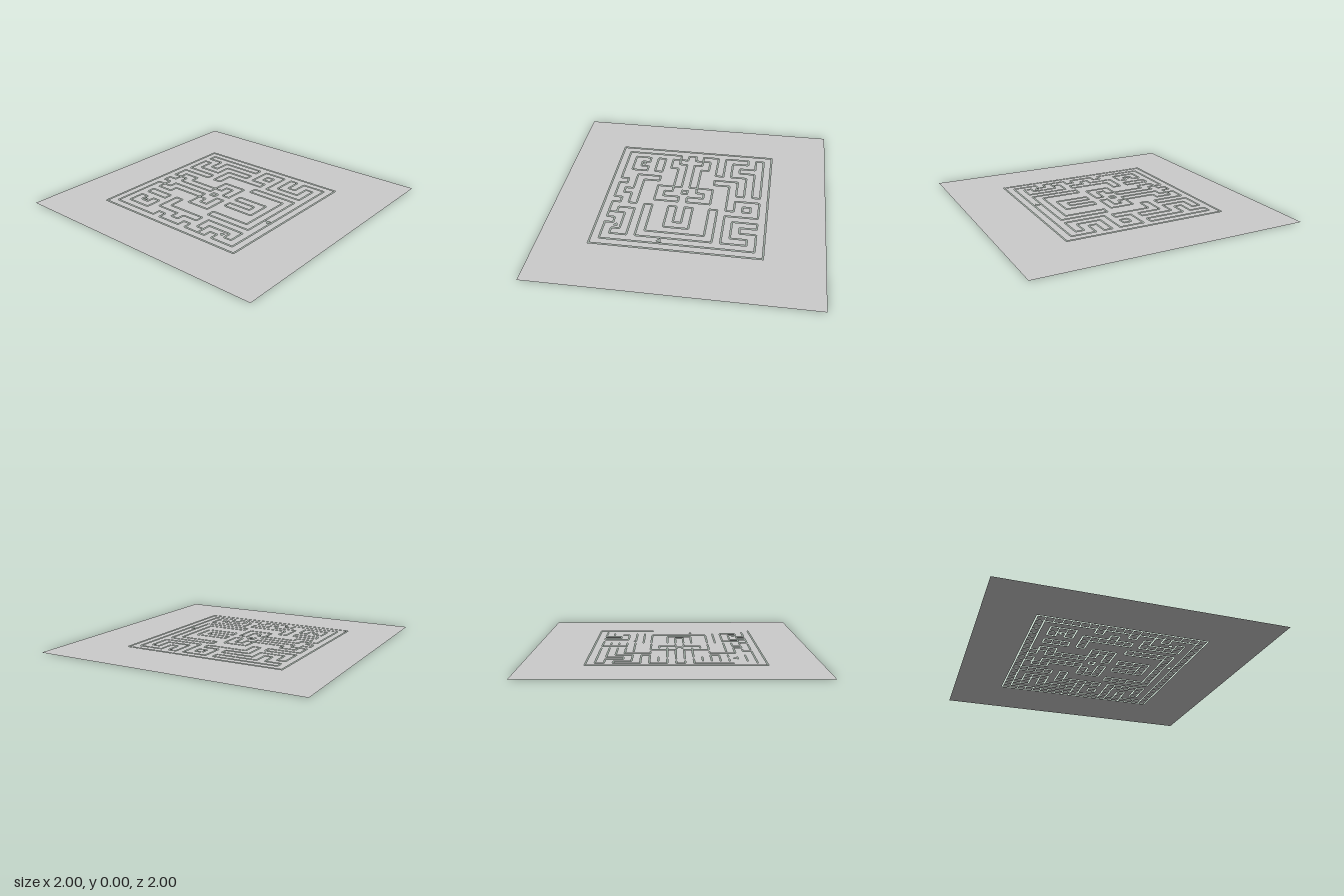
import * as THREE from 'three';
import { mergeGeometries } from 'three/addons/utils/BufferGeometryUtils.js';

const N = 20, PITCH = 0.0605, START = -0.635;
const GAP = 0.075;   // half width of the slit around a wall, in cells
const JOINT = 0.045; // half width of a joint between wall tiles, in cells

// Wall bars as [column, row, width, depth]; both sizes are 1 where left out.
// These repeat mirrored about the maze's middle column.
const MIRRORED_BARS = [
  [8, 1], [7, 2, 1, 2], [8, 3, 1, 5], [6, 8, 2], [6, 9, 1, 2], [7, 10, 2], // centre court
  [3, 6, 3], [3, 7, 1, 5], [2, 9],                                         // hooks
  [3, 13, 1, 5], [2, 13], [2, 17],                                         // brackets
  [2, 2, 2], [2, 4, 2], [5, 2, 1, 3],                                      // back corners
  [5, 12, 1, 6], [8, 12, 1, 4],                                            // nested U walls
];
const SINGLE_BARS = [
  [1, 7], [1, 11], [1, 15], [2, 3], [15, 3], [13, 1], [9, 15], [6, 17, 7],
  [17, 1, 1, 2], [17, 4, 1, 6], [18, 9], [17, 11], [17, 13, 2], [17, 15, 2], [17, 17],
];

// Small holes: the block of cells, then the centre, radius and sides of the hole.
const PIERCED = [
  { cells: [9, 8, 1, 2], x: 9.54, z: 9.02, r: 0.59, sides: 4, island: 0.36 },
  { cells: [3, 3, 1, 1], x: 3.35, z: 3.4, r: 0.26, sides: 3 },
  { cells: [2, 16, 1, 1], x: 2.4, z: 16.4, r: 0.3, sides: 3 },
  { cells: [7, 18, 2, 1], x: 7.95, z: 18.55, r: 0.35, sides: 3 },
];

function eachCell([i, j, w = 1, h = 1], visit) {
  for (let a = i; a < i + w; a++) for (let b = j; b < j + h; b++) visit(a, b);
}

// The set of wall cells: the outer ring and all bars.
function wallCells() {
  const walls = new Set();
  const add = (i, j) => walls.add(`${i},${j}`);
  for (let k = 0; k < N; k++) {
    add(k, 0); add(k, N - 1); add(0, k); add(N - 1, k);
  }
  for (const bar of SINGLE_BARS) eachCell(bar, add);
  for (const bar of MIRRORED_BARS) eachCell(bar, (i, j) => { add(i, j); add(18 - i, j); });
  return walls;
}

const rect = (x0, z0, x1, z1) => [[x0, z0], [x1, z0], [x1, z1], [x0, z1]];

const polygon = (x, z, r, sides) => Array.from({ length: sides }, (_, k) => {
  const angle = Math.PI / 4 + k * 2 * Math.PI / sides;
  return [x + r * Math.cos(angle), z + r * Math.sin(angle)];
});

// One flat sheet facing up (dir 1) or down (dir -1): surrounding ground and maze tiles.
function sheet(dir, walls, material) {
  const toPoint = ([i, j]) => new THREE.Vector2(START + i * PITCH, -dir * (START + j * PITCH));
  const flat = (outline, hole) => {
    const shape = new THREE.Shape(outline.map(toPoint));
    if (hole) shape.holes.push(new THREE.Path(hole.map(toPoint)));
    return new THREE.ShapeGeometry(shape).rotateX(-dir * Math.PI / 2);
  };

  // How far a tile draws back from its neighbour in direction (di, dj)
  const inset = (i, j, di, dj) => {
    const here = walls.has(`${i},${j}`), there = walls.has(`${i + di},${j + dj}`);
    const crack = i === 1 && di === 0 && 2 * j + dj === 27;
    if (here !== there || crack) return GAP;
    return dir < 0 && here ? JOINT : 0;
  };
  const tile = (i, j, w, h) => rect(
    i + inset(i, j, -1, 0), j + inset(i, j, 0, -1),
    i + w - inset(i + w - 1, j, 1, 0), j + h - inset(i, j + h - 1, 0, 1));

  const tiles = [], taken = new Set();
  for (const { cells, x, z, r, sides, island } of PIERCED) {
    eachCell(cells, (i, j) => taken.add(`${i},${j}`));
    tiles.push(flat(tile(...cells), polygon(x, z, r, sides)));
    if (island) tiles.push(flat(polygon(x, z, island, sides)));
  }
  eachCell([0, 0, N, N], (i, j) => {
    if (!taken.has(`${i},${j}`)) tiles.push(flat(tile(i, j, 1, 1)));
  });
  const maze = new THREE.Mesh(mergeGeometries(tiles), material);
  maze.name = 'mazeTiles';

  const lo = (-1 - START) / PITCH, hi = (1 - START) / PITCH;
  const ground = new THREE.Mesh(
    flat(rect(lo, lo, hi, hi), rect(-GAP, -GAP, N + GAP, N + GAP)), material);
  ground.name = 'surroundingGround';

  const group = new THREE.Group();
  group.name = dir > 0 ? 'upperSheet' : 'underside';
  group.add(ground, maze);
  return group;
}

export function createModel() {
  const model = new THREE.Group();
  model.name = 'mazeFloor';
  const material = new THREE.MeshStandardMaterial({ color: 0xcccccc });
  const walls = wallCells();
  const upper = sheet(1, walls, material);
  upper.position.y = 0.001;
  model.add(upper, sheet(-1, walls, material));
  return model;
}
